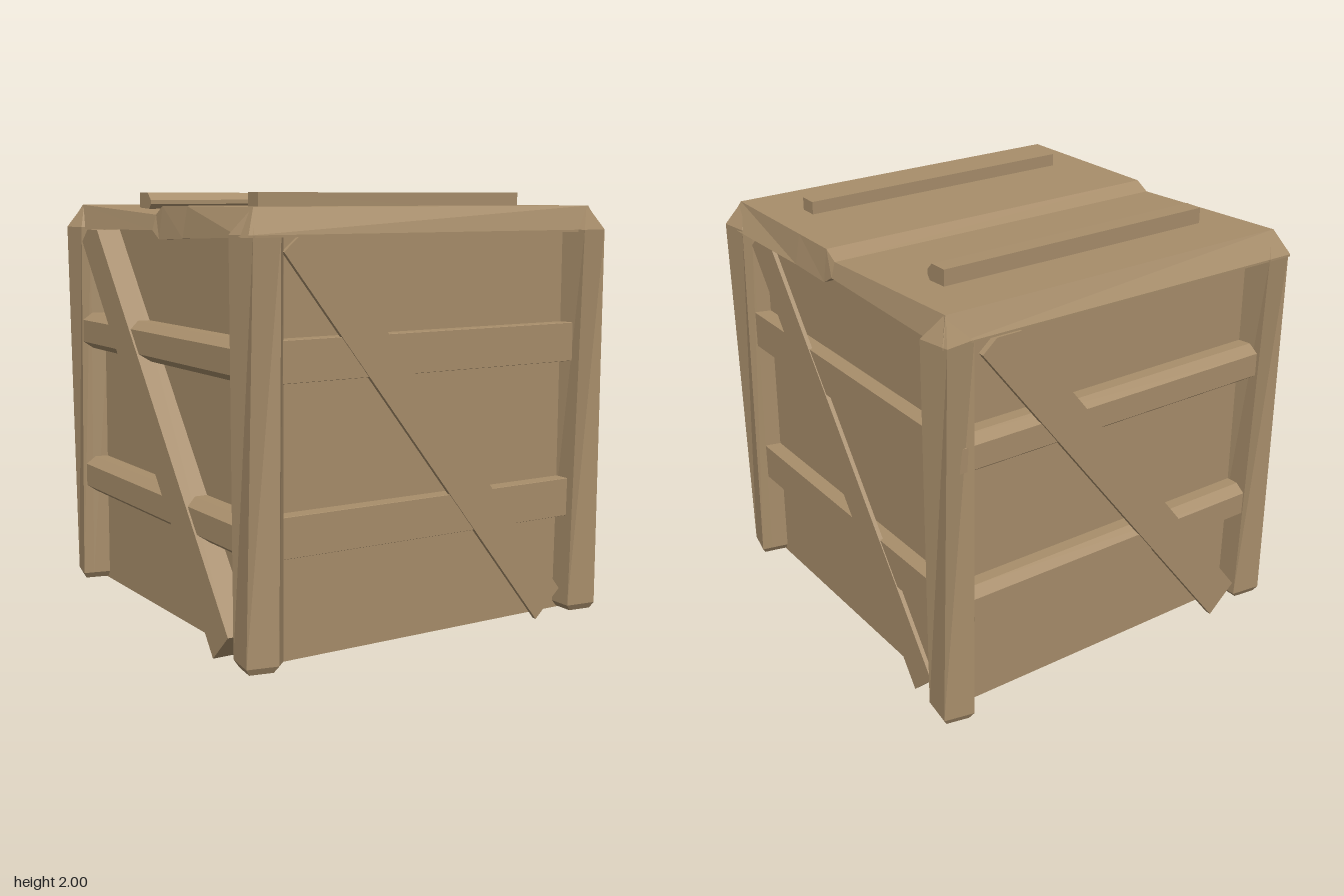
import * as THREE from 'three';

const wood = new THREE.MeshStandardMaterial({ color: 0xa88e6b, flatShading: true });

// Solid skinned over equal-length rings of [x, y, z] points, capped at both ends.
// Rings run anticlockwise when seen from the end of the loft.
function loft(rings) {
  const n = rings[0].length, last = (rings.length - 1) * n, index = [];
  for (let r = 0; r < rings.length - 1; r++) {
    for (let i = 0; i < n; i++) {
      const a = r * n + i, b = r * n + (i + 1) % n;
      index.push(a, b, b + n, a, b + n, a + n);
    }
  }
  for (let i = 1; i < n - 1; i++) {
    index.push(0, i + 1, i, last, last + i, last + i + 1);
  }
  const geometry = new THREE.BufferGeometry();
  geometry.setAttribute('position', new THREE.Float32BufferAttribute(rings.flat(2), 3));
  geometry.setIndex(index);
  const flat = geometry.toNonIndexed();
  flat.computeVertexNormals();
  return flat;
}

function addPart(parent, name, geometry) {
  const mesh = new THREE.Mesh(geometry, wood);
  mesh.name = name;
  parent.add(mesh);
  return mesh;
}

// Constant (y, z) profile run along x
const bar = (profile, x0, x1) =>
  loft([x0, x1].map(x => profile.map(([y, z]) => [x, y, z])));

// Slightly twisted corner post with a bevelled foot and pointed cap;
// bevel cuts back its inner edge
function postGeometry(bevel) {
  const bottom = [[0.78, 0.94], [0.93, 0.96], [0.96, 0.82], [0.91, 0.81 - bevel], [0.78, 0.78]];
  const top = [[0.81, 0.96], [0.96, 0.93], [0.94, 0.79], [0.89, 0.79 - bevel], [0.78, 0.76]];
  const ring = (pts, y, k) => pts.map(([x, z]) =>
    [0.885 + (x - 0.885) * k, y, 0.885 + (z - 0.885) * k]);
  return loft([ring(bottom, 0.015, 0.75), ring(bottom, 0.045, 1),
    ring(top, 1.83, 1), ring(top, 1.938, 0.05)]);
}

// Horizontal board with outer face at z = f and its edges cut by c
function beamGeometry(y0, f, c, x0) {
  const y1 = y0 + 0.18;
  return bar([[y0, 0.8], [y1, 0.8], [y1, f - c], [y1 - c * 0.7, f],
    [y0 + c * 0.7, f], [y0, f - c]], x0, 0.8);
}

// Diagonal board with outer face at z = f
function braceGeometry(f, depth) {
  const outline = [[-0.76, 1.76], [-0.69, 1.82], [-0.57, 1.82], [0.75, 0.13], [0.61, 0]];
  const shape = new THREE.Shape(outline.map(([x, y]) => new THREE.Vector2(x, y)));
  return new THREE.ExtrudeGeometry(shape, { depth, bevelEnabled: false }).translate(0, 0, f - depth);
}

// Lid with sloping edges and a worn step across the middle
function lidGeometry() {
  // z, bottom y, half width at bottom, top y, half width at top, skew of the end
  const stations = [
    [-0.95, 1.82, 0.94, 1.83, 0.94, -0.01],
    [-0.89, 1.82, 0.925, 1.94, 0.89, 0],
    [-0.02, 1.83, 0.91, 1.90, 0.89, 0],
    [0.05, 1.79, 0.91, 1.94, 0.89, 0],
    [0.30, 1.80, 0.915, 1.94, 0.89, 0],
    [0.89, 1.82, 0.95, 1.94, 0.89, 0],
    [0.94, 1.82, 0.95, 1.83, 0.95, 0.02],
  ];
  return loft(stations.map(([z, yb, xb, yt, xt, skew]) =>
    [[-xb, yb], [xb, yb], [xt, yt], [-xt, yt]].map(([x, y]) => [x, y, z - skew * x])));
}

export function createModel() {
  const crate = new THREE.Group();
  crate.name = 'crate';

  // Inner box
  addPart(crate, 'body', new THREE.BoxGeometry(1.66, 1.83, 1.66)).position.y = 0.925;

  // Four sides, each with a post, two beams and a brace;
  // the boards of the back and left stand further out and have cut edges
  const sides = [
    { name: 'front', face: 0.905, cut: 0.002, brace: 0.91, depth: 0.02, start: -0.8, bevel: 0 },
    { name: 'right', face: 0.905, cut: 0.002, brace: 0.91, depth: 0.02, start: -0.8, bevel: 0 },
    { name: 'back', face: 0.94, cut: 0.05, brace: 0.955, depth: 0.03, start: -0.92, bevel: 0 },
    { name: 'left', face: 0.94, cut: 0.05, brace: 0.95, depth: 0.13, start: -0.8, bevel: 0.04 },
  ];
  sides.forEach(({ name, face, cut, brace, depth, start, bevel }, k) => {
    const side = new THREE.Group();
    side.name = name + 'Side';
    side.rotation.y = k * Math.PI / 2;
    addPart(side, 'cornerPost', postGeometry(bevel));
    addPart(side, 'lowerBeam', beamGeometry(0.48, face, cut, -0.8));
    addPart(side, 'upperBeam', beamGeometry(1.22, face, cut, start));
    addPart(side, 'diagonalBrace', braceGeometry(brace, depth));
    crate.add(side);
  });

  // Lid and its two battens
  addPart(crate, 'lid', lidGeometry());
  addPart(crate, 'frontBatten',
    bar([[1.9, 0.51], [2, 0.51], [2, 0.6], [1.9, 0.6]], -0.705, 0.705));
  addPart(crate, 'backBatten',
    bar([[1.9, -0.6], [2, -0.6], [2, -0.51], [1.965, -0.475], [1.945, -0.475], [1.9, -0.51]],
      -0.705, 0.705));

  return crate;
}
